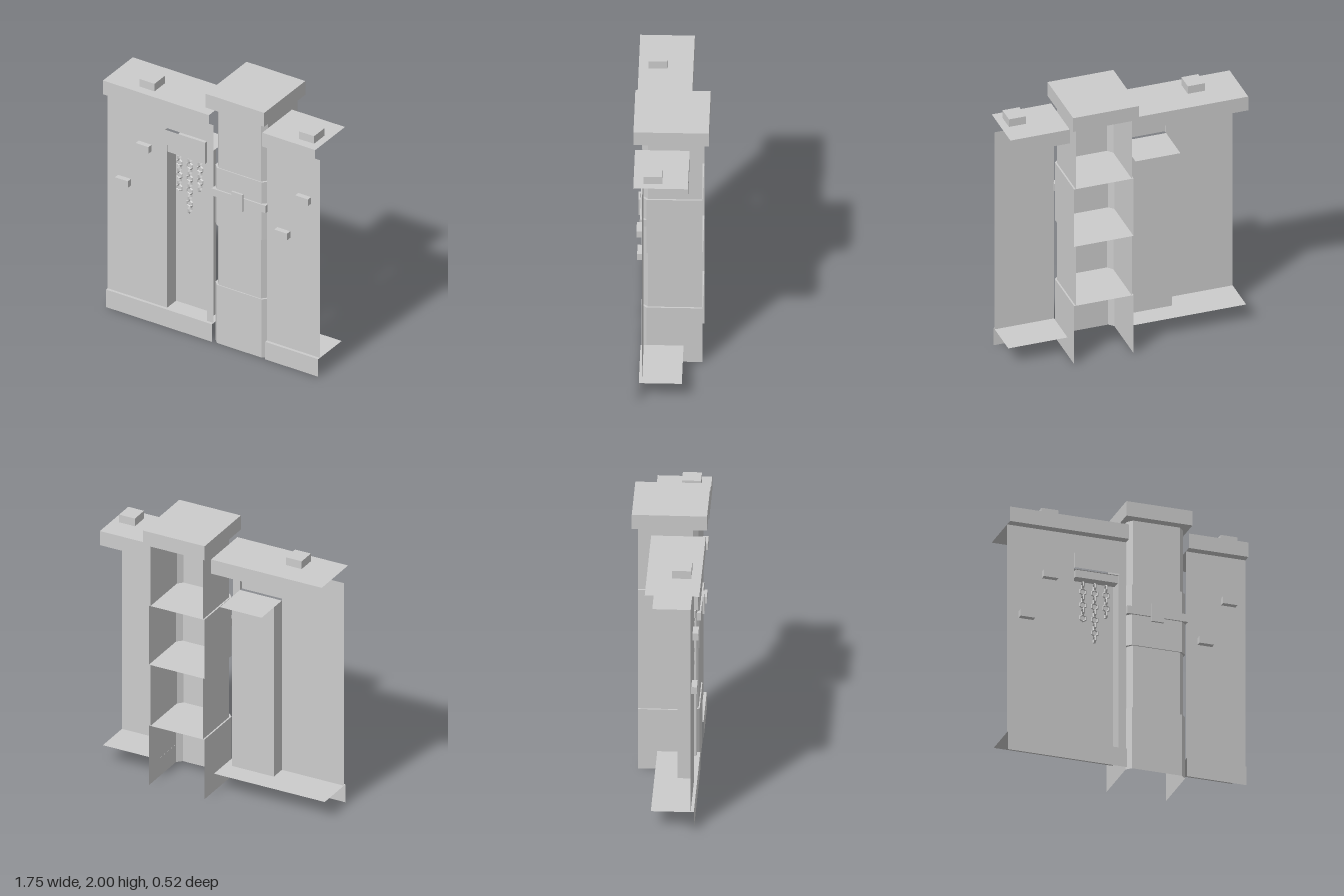
import * as THREE from 'three';

export function createModel() {
  const model = new THREE.Group();
  const solid = new THREE.MeshStandardMaterial({ color: 0xcccccc, flatShading: true });
  const thin = new THREE.MeshStandardMaterial({ color: 0xcccccc, flatShading: true, side: THREE.DoubleSide });

  const add = (name, geometry, material = thin, parent = model) => {
    const mesh = new THREE.Mesh(geometry, material);
    mesh.name = name;
    parent.add(mesh);
    return mesh;
  };

  // Box given by its limits; openEnds leaves out the two x faces
  const box = (name, x0, x1, y0, y1, z0, z1, openEnds = false) => {
    const g = new THREE.BoxGeometry(x1 - x0, y1 - y0, z1 - z0);
    if (openEnds) {
      g.setIndex(Array.from(g.index.array).slice(12));
      g.clearGroups();
    }
    g.translate((x0 + x1) / 2, (y0 + y1) / 2, (z0 + z1) / 2);
    return add(name, g, solid);
  };

  // Upright sheet that follows a path of [x, z] points
  const strip = (name, path, y0, y1) => {
    const pos = [];
    for (let i = 0; i < path.length - 1; i++) {
      const [ax, az] = path[i], [bx, bz] = path[i + 1];
      pos.push(ax, y0, az, bx, y0, bz, bx, y1, bz, ax, y0, az, bx, y1, bz, ax, y1, az);
    }
    const g = new THREE.BufferGeometry();
    g.setAttribute('position', new THREE.Float32BufferAttribute(pos, 3));
    g.computeVertexNormals();
    return add(name, g);
  };

  // Level sheet with an outline of [x, z] points
  const plate = (name, outline, y) => {
    const shape = new THREE.Shape(outline.map(([x, z]) => new THREE.Vector2(x, z)));
    const g = new THREE.ShapeGeometry(shape).rotateX(Math.PI / 2).translate(0, y, 0);
    return add(name, g);
  };
  const rect = (x0, x1, z0, z1) => [[x0, z0], [x0, z1], [x1, z1], [x1, z0]];

  // Wall halves: base ledge, front panel and coping
  const wallZ = 0.19, baseTop = 0.14, wallTop = 1.72;
  const niche = { x0: -0.387, x1: -0.058, top: 1.46, open: 1.575, z: 0.075 };
  for (const [side, x0, x1] of [['right', -0.875, -0.004], ['left', 0.434, 0.87]]) {
    strip(side + 'BaseFront', [[x0, 0.212], [x1, 0.212]], 0, baseTop);
    plate(side + 'BaseLedge', rect(x0, x1, -0.085, 0.212), baseTop);
    box(side + 'Coping', x0, x1, wallTop, 1.83, -0.127, 0.25, true);
    if (side === 'left') {
      strip('leftWallPanel', [[x0, wallZ], [x1, wallZ]], baseTop, wallTop);
    } else {
      strip('outerWallPanel', [[x0, wallZ], [niche.x0, wallZ]], baseTop, wallTop);
      strip('innerWallPanel', [[niche.x1, wallZ], [x1, wallZ]], baseTop, wallTop);
      strip('panelOverNiche', [[niche.x0, wallZ], [niche.x1, wallZ]], niche.open, wallTop);
    }
  }

  // Recessed niche with lintel and chain rail
  strip('nicheRecess', [[niche.x0, wallZ], [niche.x0, niche.z], [niche.x1, niche.z], [niche.x1, wallZ]],
    baseTop, niche.top);
  plate('nicheRoof', rect(niche.x0, niche.x1, -0.1, wallZ), niche.top);
  strip('lintel', [[-0.387, 0.19], [-0.387, 0.215], [-0.058, 0.215], [-0.058, 0.19]], 1.46, 1.575);
  box('chainRail', -0.378, -0.068, 1.395, 1.45, 0.13, 0.2);

  // Hanging chains: links alternate between edge-on and face-on
  const link = new THREE.TorusGeometry(0.024, 0.007, 4, 6).rotateZ(Math.PI / 6);
  for (const [x, count] of [[-0.308, 6], [-0.222, 9], [-0.138, 5]]) {
    const chain = new THREE.Group();
    chain.name = 'chain';
    for (let i = 0; i < count; i++) {
      const m = add('chainLink', link, solid, chain);
      m.position.set(x, 1.36 - i * 0.05, 0.155);
      if (i % 2 === 0) m.rotation.y = Math.PI / 2;
    }
    model.add(chain);
  }

  // Raised bricks on the wall and blocks on the coping
  for (const [x, y] of [[-0.62, 1.35], [-0.79, 1.022], [0.692, 1.35], [0.52, 1.022]])
    box('raisedBrick', x, x + 0.106, y, y + 0.052, wallZ, 0.23);
  for (const x of [-0.62, 0.692]) box('copingBlock', x, x + 0.124, 1.83, 1.89, 0.05, 0.182);

  // Pillar: stacked open-backed sections with chamfered front corners
  const section = (hw, c, zf, zc) => [[-hw, -0.217], [-hw, zc], [-hw + c, zf], [hw - c, zf], [hw, zc], [hw, -0.217]]
    .map(([x, z]) => [x + 0.217, z]);
  const wide = section(0.218, 0.034, 0.206, 0.172);
  const narrow = section(0.206, 0.034, 0.198, 0.16);
  const levels = [0, 0.465, 0.94, 1.4, 1.89];
  for (let i = 0; i < 4; i++) {
    strip('pillarSection', i % 2 ? narrow : wide, levels[i], levels[i + 1]);
    if (i) plate('pillarShelf', wide, levels[i]);
  }
  box('pillarCap', -0.026, 0.457, 1.89, 2, -0.26, 0.26);

  // Strap and buckle plate around the pillar front
  box('strap', -0.003, 0.44, 1.172, 1.23, 0.17, 0.217);
  box('bucklePlate', 0.168, 0.26, 1.132, 1.266, 0.217, 0.232);

  return model;
}
